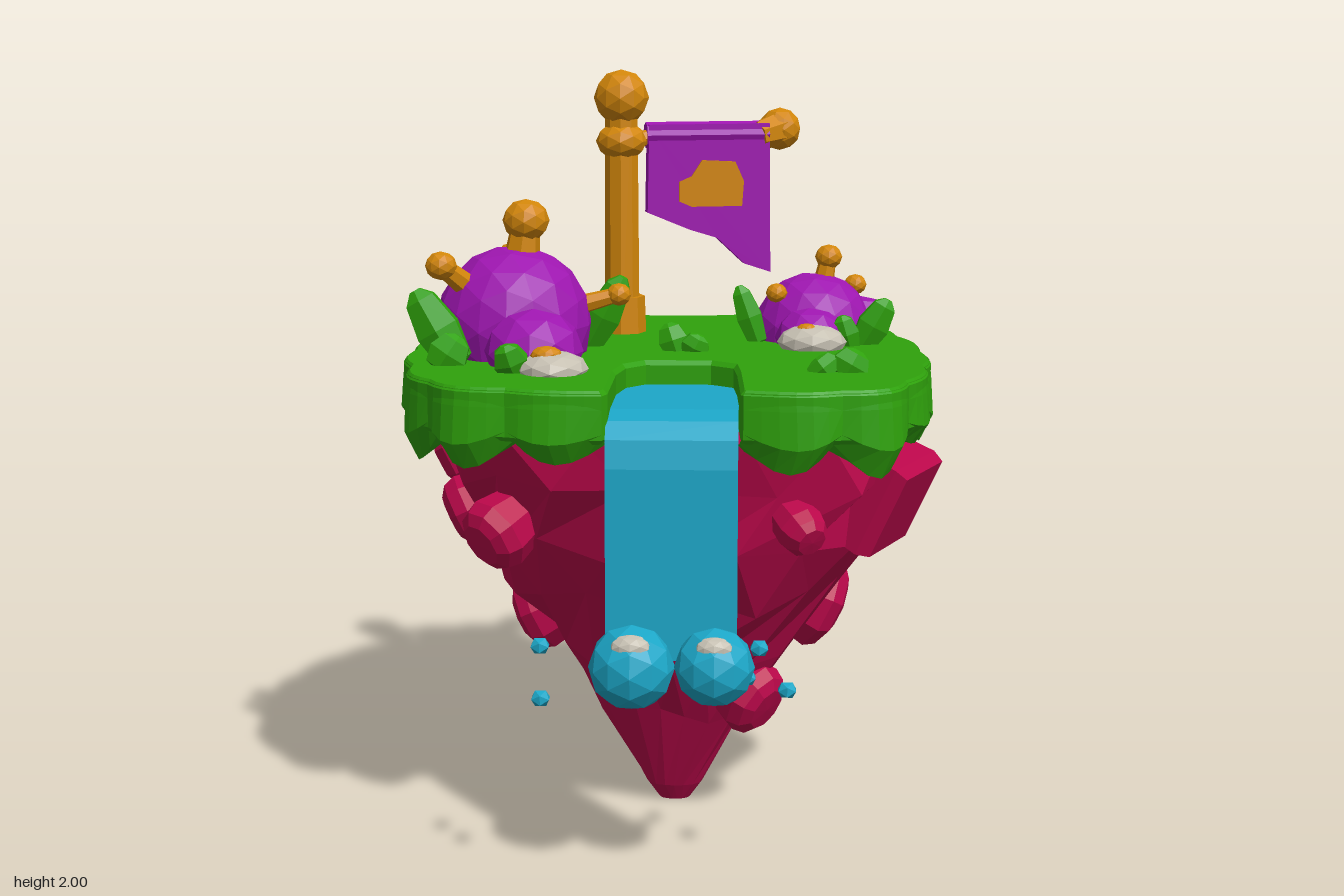
import * as THREE from 'three';

const mat = (name, color, side = THREE.FrontSide) => {
  const m = new THREE.MeshStandardMaterial({ color, flatShading: true, side });
  m.name = name;
  return m;
};

export function createModel() {
  const green = mat('grass green', 0x2fa20c, THREE.DoubleSide);
  const rock = mat('crimson rock', 0xbb074a);
  const purple = mat('purple', 0x9e16b0);
  const gold = mat('golden orange', 0xd2860a);
  const blue = mat('water blue', 0x1ca7c8);
  const cream = mat('pale cream', 0xc6c0b2);
  const root = new THREE.Group();
  const V = (x, y, z) => new THREE.Vector3(x, y, z);
  const V2 = p => new THREE.Vector2(...p);
  let seed = 7;
  const rnd = () => (seed = (seed * 16807) % 2147483647) / 2147483647;

  const add = (name, geo, m, p = [0, 0, 0], parent = root) => {
    const mesh = new THREE.Mesh(geo, m);
    mesh.name = name;
    mesh.position.set(...p);
    parent.add(mesh);
    return mesh;
  };
  const ball = (name, m, p, r, s = [1, 1, 1], parent = root, detail = 1) => {
    const b = add(name, new THREE.IcosahedronGeometry(r, detail), m, p, parent);
    b.scale.set(...s);
    return b;
  };
  // tapered rod between two points
  const rod = (name, m, a, b, r0, r1, parent = root, sides = 7) => {
    const A = V(...a), d = V(...b).sub(A);
    const mesh = add(name, new THREE.CylinderGeometry(r1, r0, d.length(), sides), m, A.clone().addScaledVector(d, 0.5).toArray(), parent);
    mesh.quaternion.setFromUnitVectors(V(0, 1, 0), d.normalize());
    return mesh;
  };
  // surface through rows of points, listed from low to high
  const loft = (rows, closed) => {
    const n = rows[0].length, idx = [];
    for (let i = 0; i < rows.length - 1; i++)
      for (let j = 0; j < (closed ? n : n - 1); j++) {
        const k = (j + 1) % n, a = i * n + j, b = i * n + k, c = b + n, d = a + n;
        idx.push(a, b, c, a, c, d);
      }
    const g = new THREE.BufferGeometry().setFromPoints(rows.flat());
    g.setIndex(idx);
    g.computeVertexNormals();
    return g;
  };

  // rocky cone below the grass: [y, half width, centre z, half depth]
  const rows = [[0, 0, -0.07, 0], [0, 0.045, -0.07, 0.045], [0.05, 0.08, -0.07, 0.075], [0.28, 0.2, -0.08, 0.185],
    [0.48, 0.325, -0.08, 0.3], [0.66, 0.445, -0.07, 0.41], [0.82, 0.53, -0.06, 0.51], [0.98, 0.595, -0.06, 0.57],
    [1.12, 0.64, -0.06, 0.59], [1.12, 0, -0.06, 0]].map(([y, hx, cz, hz], i) =>
    Array.from({ length: 20 }, (_, j) => {
      const a = (j + (i % 2) * 0.5) / 20 * Math.PI * 2, s = Math.sin(a), c = Math.cos(a);
      const k = (1 + (rnd() - 0.5) * (i > 2 && i < 8 ? 0.13 : 0)) / Math.pow(Math.abs(s) ** 5 + Math.abs(c) ** 5, 0.08);
      return V(0.02 + s * hx * k, y + (i > 2 && i < 8 ? (rnd() - 0.5) * 0.07 : 0), cz + c * hz * k);
    }));
  add('rockCone', loft(rows, true), rock);

  // rounded boulders set into the rock: position, half width, half height, roll
  const roundProfile = [[0.85, -1], [1, 0.1], [0.88, 0.6], [0.6, 0.88], [0, 0.92]];
  const slabProfile = [[0.95, -1], [1, 0.5], [0.92, 1], [0, 1]];
  const boulder = (profile, sides, x, y, z, w, h, roll = 0) => {
    const geo = new THREE.LatheGeometry(profile.map(V2), sides, Math.PI / sides);
    geo.rotateX(Math.PI / 2);
    const m = add('boulder', geo, rock, [x, y, z]);
    m.lookAt(V(x, y, z).add(V(x - 0.02, 0, z + 0.07).normalize().multiplyScalar(0.9).setY(-0.42)));
    m.rotateZ(roll);
    m.scale.set(w, h, 0.07);
  };
  boulder(slabProfile, 4, 0.575, 0.925, 0.185, 0.2, 0.18);
  [[0.54, 0.94, -0.3, 0.09, 0.09], [0.41, 0.54, -0.19, 0.115, 0.14], [0.23, 0.34, 0.09, 0.1, 0.105],
    [0.35, 0.9, 0.45, 0.065, 0.065], [-0.42, 0.86, 0.36, 0.1, 0.1, 0.3], [-0.58, 0.95, -0.29, 0.12, 0.125],
    [-0.35, 0.53, -0.1, 0.11, 0.115], [-0.53, 0.84, 0, 0.1, 0.1], [0.36, 0.94, -0.54, 0.1, 0.1],
    [0, 0.94, -0.6, 0.1, 0.1], [-0.25, 0.63, -0.4, 0.1, 0.09], [0.1, 0.53, -0.39, 0.1, 0.12, 0.4],
    [-0.36, 0.92, -0.52, 0.1, 0.09]].forEach(b => boulder(roundProfile, 9, ...b));

  // scalloped lawn outline, from one side of the notch round to the other
  const outline = new THREE.CatmullRomCurve3([[0.21, 0.57], [0.41, 0.575], [0.57, 0.51], [0.675, 0.25], [0.695, 0], [0.66, -0.29],
    [0.57, -0.525], [0.41, -0.66], [0.18, -0.72], [-0.02, -0.69], [-0.16, -0.72], [-0.37, -0.68], [-0.5, -0.57], [-0.62, -0.37],
    [-0.685, -0.16], [-0.695, 0], [-0.675, 0.18], [-0.62, 0.39], [-0.52, 0.505], [-0.33, 0.565], [-0.14, 0.59]].map(([x, z]) => V(x, 0, z)));
  const N = 102, edge = outline.getSpacedPoints(N);
  const wave = j => Math.abs(Math.sin(j / N * Math.PI * 17));
  const depth = j => wave(j) * (0.8 + 0.3 * Math.sin(Math.floor(j / 6) * 2.3));
  const ring = (s, y, bulge, drop) => edge.map((p, j) =>
    V(p.x * (s + bulge * wave(j)), y - drop * depth(j), -0.06 + (p.z + 0.06) * (s + bulge * wave(j))));
  add('grassSkirt', loft([ring(0.85, 1.12, 0, 0.02), ring(0.94, 1.13, 0.03, 0.09), ring(0.985, 1.16, 0.035, 0.045),
    ring(0.985, 1.22, 0.025, 0), ring(0.98, 1.262, 0.022, 0)], false), green);

  const lawn = new THREE.Shape([...ring(0.985, 0, 0.022, 0).map(p => V2([p.x, -p.z])),
    ...[[-0.125, 0.55], [-0.12, 0.28], [-0.1, 0.18], [-0.05, 0.125], [0.12, 0.125], [0.18, 0.17], [0.19, 0.28], [0.2, 0.55]]
      .map(([x, z]) => V2([x, -z]))]);
  const lawnGeo = new THREE.ExtrudeGeometry(lawn, { depth: 0.11, bevelThickness: 0.012, bevelSize: 0.01, bevelOffset: -0.01, bevelSegments: 1 });
  lawnGeo.rotateX(-Math.PI / 2);
  add('lawn', lawnGeo, green, [0, 1.146, 0]);

  // stream and waterfall, a side profile swept across its width
  const fall = new THREE.Shape([[0.1, 1.12], [0.53, 1.1], [0.55, 0.6], [0.615, 0.6], [0.605, 1.08], [0.59, 1.15], [0.55, 1.19], [0.47, 1.205], [0.1, 1.205]].map(V2));
  const fallGeo = new THREE.ExtrudeGeometry(fall, { depth: 0.325, bevelEnabled: false });
  fallGeo.rotateY(-Math.PI / 2);
  add('waterfall', fallGeo, blue, [0.195, 0, 0]);
  [[-0.065, 0.585, 0.62, 0.108], [0.14, 0.59, 0.63, 0.1]].forEach(([x, y, z, r]) => {
    ball('splash', blue, [x, y, z], r);
    ball('foam', cream, [x, y + r * 0.6, z + r * 0.45], r * 0.42, [1.15, 0.7, 0.8]);
  });
  [[-0.29, 0.64, 0.63], [-0.29, 0.505, 0.63], [0.22, 0.51, 0.46], [0.32, 0.52, 0.59], [0.25, 0.63, 0.6]]
    .forEach(p => ball('droplet', blue, p, 0.026, [1, 0.9, 1], root, 0));
  ball('sideSpring', blue, [0.51, 0.78, 0.03], 0.047, [1, 0.7, 1]);
  ball('sideFoam', cream, [0.53, 0.772, 0.025], 0.033, [1, 0.75, 1]);

  // flag pole with its finials
  const px = -0.14, pz = -0.38;
  rod('pole', gold, [px, 1.25, pz], [px, 1.9, pz], 0.05, 0.046, root, 9);
  rod('poleBase', gold, [px, 1.25, pz], [px, 1.37, pz], 0.068, 0.064, root, 8);
  ball('poleCollar', gold, [px, 1.805, pz], 0.072, [1, 0.75, 1]);
  ball('poleTop', gold, [px, 1.925, pz], 0.077);

  // banner hung from a cross bar
  const banner = new THREE.Group();
  banner.name = 'banner';
  banner.position.set(px, 0, pz);
  banner.rotation.y = 0.22;
  root.add(banner);
  rod('crossBar', gold, [0, 1.81, 0], [0.42, 1.82, 0], 0.022, 0.025, banner);
  rod('barKnobNeck', gold, [0.39, 1.815, -0.005], [0.46, 1.83, -0.04], 0.04, 0.05, banner);
  ball('barKnob', gold, [0.465, 1.83, -0.05], 0.06, [1, 1, 1], banner);
  rod('bannerRoll', purple, [0.07, 1.82, -0.01], [0.42, 1.82, -0.01], 0.036, 0.036, banner, 8);
  const cloth = new THREE.Shape([[0.075, 1.85], [0.07, 1.605], [0.19, 1.555], [0.27, 1.53], [0.35, 1.455], [0.425, 1.43], [0.42, 1.85]].map(V2));
  add('bannerCloth', new THREE.ExtrudeGeometry(cloth, { depth: 0.04, bevelEnabled: false }), purple, [0, 0, -0.02], banner);
  const patch = new THREE.Shape([[-0.095, -0.045], [-0.06, -0.06], [0.085, -0.06], [0.09, 0.01], [0.065, 0.065], [-0.03, 0.07], [-0.06, 0.025], [-0.095, 0.01]].map(V2));
  for (const z of [-0.027, 0.019])
    add('bannerPatch', new THREE.ExtrudeGeometry(patch, { depth: 0.008, bevelEnabled: false }), gold, [0.255, 1.68, z], banner);

  // knobbed round creatures; each knob has its own stem colour
  const creature = (name, c, r, snout, muzzle, knobs) => {
    const g = new THREE.Group();
    g.name = name;
    root.add(g);
    ball('body', purple, c, r, [1, 1, 1], g, 2);
    ball('snout', purple, snout.slice(0, 3), snout[3], [1, 0.85, 1], g);
    ball('muzzle', cream, muzzle.slice(0, 3), muzzle[3], [1, 0.5, muzzle[4]], g);
    ball('nose', gold, [muzzle[0] - 0.015, muzzle[1] + 0.035, muzzle[2] + 0.01], muzzle[5], [1, 0.6, 0.8], g);
    for (const [x, y, z, kr, stem = gold] of knobs) {
      const base = V(...c).lerp(V(x, y, z), 0.6).toArray();
      rod('knobStem', stem, base, [x, y, z], kr * 0.8, kr * 0.6, g);
      ball('knob', gold, [x, y, z], kr, [1, 0.9, 1], g);
    }
    return g;
  };
  creature('largeCreature', [-0.41, 1.345, -0.02], 0.208, [-0.34, 1.3, 0.17, 0.13], [-0.28, 1.275, 0.295, 0.092, 1.05, 0.042],
    [[-0.375, 1.62, -0.02, 0.063], [-0.585, 1.515, 0.12, 0.042], [-0.44, 1.5, -0.24, 0.038, rock], [-0.13, 1.42, -0.04, 0.034]]);
  const small = creature('smallCreature', [0.4, 1.28, -0.31], 0.168, [0.39, 1.285, -0.18, 0.1], [0.39, 1.285, -0.1, 0.095, 0.75, 0.028],
    [[0.44, 1.49, -0.32, 0.038], [0.52, 1.4, -0.42, 0.032, rock], [0.295, 1.4, -0.23, 0.03]]);
  rod('tail', purple, [0.48, 1.31, -0.32], [0.61, 1.35, -0.325], 0.09, 0.015, small);

  // leaves: base, tip, half width
  [[-0.53, 1.25, 0.17, -0.65, 1.455, 0.16, 0.065], [-0.59, 1.25, 0.2, -0.53, 1.34, 0.19, 0.06], [-0.23, 1.25, -0.13, -0.12, 1.46, -0.09, 0.055],
    [-0.36, 1.25, -0.24, -0.29, 1.42, -0.27, 0.07], [-0.27, 1.25, -0.24, -0.2, 1.36, -0.22, 0.05], [-0.34, 1.25, -0.24, -0.46, 1.33, -0.23, 0.05],
    [-0.37, 1.25, 0.3, -0.4, 1.34, 0.33, 0.05], [0.25, 1.25, -0.22, 0.19, 1.42, -0.22, 0.04], [0.52, 1.25, -0.18, 0.6, 1.39, -0.17, 0.05],
    [0.5, 1.25, -0.15, 0.47, 1.35, -0.14, 0.04], [0.03, 1.25, -0.05, 0, 1.34, -0.06, 0.045], [0.06, 1.25, -0.05, 0.09, 1.31, -0.04, 0.045],
    [0.43, 1.25, 0.27, 0.39, 1.3, 0.26, 0.055], [0.46, 1.25, 0.27, 0.5, 1.32, 0.26, 0.055]].forEach(([x, y, z, X, Y, Z, w]) => {
    const A = V(x, y, z), d = V(X, Y, Z).sub(A), L = d.length();
    const leaf = add('leaf', new THREE.LatheGeometry([[0.001, 0], [0.75, 0.1], [1, 0.5], [0.7, 0.88], [0.25, 1], [0, 1]]
      .map(([r, h]) => V2([r * w, h * L])), 6), green, [x, y, z]);
    leaf.scale.z = 0.65;
    leaf.quaternion.setFromUnitVectors(V(0, 1, 0), d.normalize());
  });

  return root;
}
